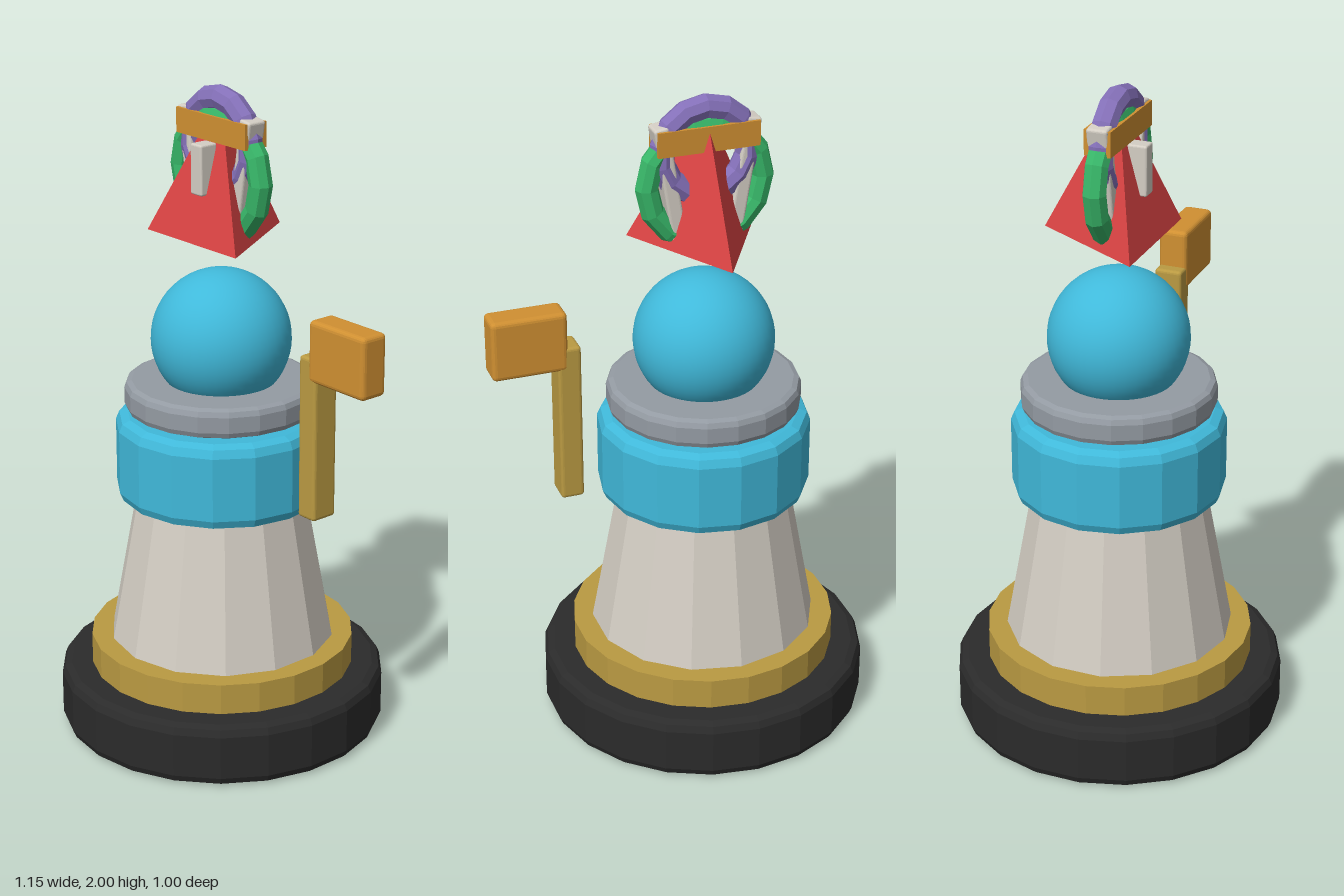
import * as THREE from 'three';
import { RoundedBoxGeometry } from 'three/addons/geometries/RoundedBoxGeometry.js';

const mat = (name, color, flat = true) => {
  const m = new THREE.MeshStandardMaterial({ color, flatShading: flat });
  m.name = name;
  return m;
};

export function createModel() {
  const black = mat('black', 0x2b2b2b);
  const gold = mat('gold', 0xba9a42);
  const ivory = mat('ivory', 0xd4cec4);
  const blue = mat('blue', 0x40b9da, false);
  const grey = mat('grey', 0x949ba3);
  const orange = mat('orange', 0xd09032);
  const red = mat('red', 0xdc4444);
  const green = mat('green', 0x38b769);
  const purple = mat('purple', 0x8470b8);

  const model = new THREE.Group();
  const body = new THREE.Group();
  body.name = 'body';
  body.position.x = -0.08;
  model.add(body);

  const add = (parent, name, geometry, material, x = 0, y = 0, z = 0) => {
    const mesh = new THREE.Mesh(geometry, material);
    mesh.name = name;
    mesh.position.set(x, y, z);
    parent.add(mesh);
    return mesh;
  };

  // Disc with softened top and bottom edges
  const roundedDisc = (r, y0, y1, b, sides) => {
    const c = b * 0.3;
    const pts = [
      [0, y0], [r - b, y0], [r - c, y0 + c], [r, y0 + b],
      [r, y1 - b], [r - c, y1 - c], [r - b, y1], [0, y1],
    ].map(([x, y]) => new THREE.Vector2(x, y));
    const g = new THREE.LatheGeometry(pts, sides);
    return g.toNonIndexed().deleteAttribute('normal');
  };
  const disc = (name, r, y0, y1, b, sides, material) => {
    const g = roundedDisc(r, y0, y1, b, sides);
    g.computeVertexNormals();
    return add(body, name, g, material);
  };

  // Stacked body
  disc('base', 0.5, 0, 0.195, 0.03, 22, black);
  add(body, 'baseBand', new THREE.CylinderGeometry(0.405, 0.405, 0.1, 22), gold, 0, 0.24);
  add(body, 'robe', new THREE.CylinderGeometry(0.26, 0.346, 0.47, 14), ivory, 0, 0.52);
  disc('chest', 0.32, 0.742, 1.008, 0.035, 16, blue);
  disc('collar', 0.291, 1.02, 1.112, 0.022, 20, grey);
  add(body, 'head', new THREE.SphereGeometry(0.21, 40, 28), blue, 0, 1.24);

  // Raised arm with its hand block
  add(model, 'arm', new RoundedBoxGeometry(0.07, 0.495, 0.086, 2, 0.01), gold, 0.345, 1.048);
  add(model, 'hand', new RoundedBoxGeometry(0.226, 0.185, 0.09, 2, 0.014), orange, 0.462, 1.317);

  // Floating crest above the head
  const crest = new THREE.Group();
  crest.name = 'crest';
  body.add(crest);
  add(crest, 'largeRing', new THREE.TorusGeometry(0.175, 0.035, 8, 14), green, 0, 1.738);
  add(crest, 'smallRing', new THREE.TorusGeometry(0.131, 0.037, 8, 14), purple, 0, 1.833)
    .rotation.z = Math.PI / 2;
  add(crest, 'crossbar', new THREE.BoxGeometry(0.306, 0.075, 0.08), orange, 0, 1.878);
  add(crest, 'pyramid', new THREE.ConeGeometry(0.23, 0.42, 3), red, 0, 1.76)
    .rotation.y = Math.PI;
  add(crest, 'frontPeg', new RoundedBoxGeometry(0.05, 0.15, 0.06, 2, 0.006), ivory, 0, 1.765, 0.065);

  // Slanted struts, mirrored
  for (const s of [-1, 1]) {
    const strut = add(crest, s > 0 ? 'leftStrut' : 'rightStrut',
      new RoundedBoxGeometry(0.045, 0.37, 0.064, 2, 0.008), ivory, s * 0.11, 1.74);
    strut.rotation.z = -s * 0.16;
  }

  return model;
}
